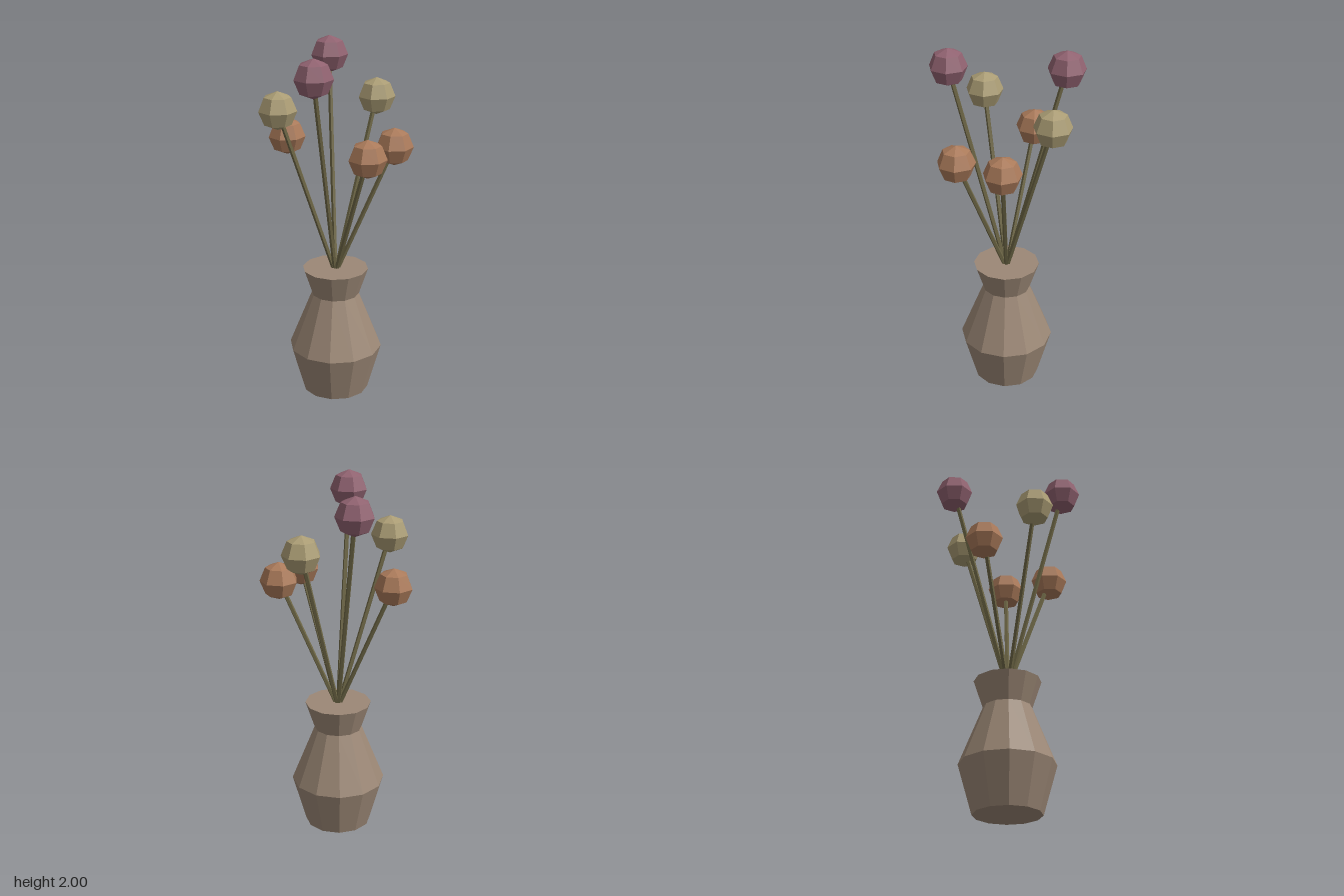
import * as THREE from 'three';

const paint = (name, color) => {
  const m = new THREE.MeshStandardMaterial({ color, flatShading: true });
  m.name = name;
  return m;
};

export function createModel() {
  const clay = paint('clay', 0x9c8876);
  const stemGreen = paint('stem green', 0x6e6746);
  const kinds = [
    { y: 1.465, mat: paint('orange bloom', 0xaa7a5a) },
    { y: 1.68, mat: paint('straw bloom', 0xaa9c74) },
    { y: 1.895, mat: paint('plum bloom', 0x906270) },
  ];

  const group = new THREE.Group();
  group.name = 'flowerVase';
  const add = (geometry, material, name) => {
    const mesh = new THREE.Mesh(geometry, material);
    mesh.name = name;
    group.add(mesh);
    return mesh;
  };

  // Twelve-sided vase, closed at the foot and the rim
  const profile = [[0, 0], [0.187, 0], [0.263, 0.27], [0.134, 0.592], [0.185, 0.745], [0, 0.745]];
  add(new THREE.LatheGeometry(profile.map(([x, y]) => new THREE.Vector2(x, y)), 12), clay, 'vase');

  // Faceted seven-sided bloom with a corner towards +x
  const bloom = new THREE.SphereGeometry(0.105, 7, 4).rotateY(Math.PI);

  // Seven stems fan out from the vase mouth
  const base = new THREE.Vector3(0, 0.71, 0);
  const up = new THREE.Vector3(0, 1, 0);
  const order = [0, 0, 2, 1, 0, 2, 1];
  order.forEach((kind, i) => {
    const a = (i / 7) * Math.PI * 2;
    const { y, mat } = kinds[kind];
    const tip = new THREE.Vector3(Math.cos(a) * 0.32, y, Math.sin(a) * 0.32);
    const dir = tip.clone().sub(base);

    const stem = add(new THREE.CylinderGeometry(0.013, 0.013, dir.length(), 5), stemGreen, 'stem' + (i + 1));
    stem.position.copy(base).add(tip).multiplyScalar(0.5);
    stem.quaternion.setFromUnitVectors(up, dir.normalize());

    add(bloom, mat, 'bloom' + (i + 1)).position.copy(tip);
  });

  // Centre the whole arrangement
  group.position.x = -0.021;
  return group;
}
